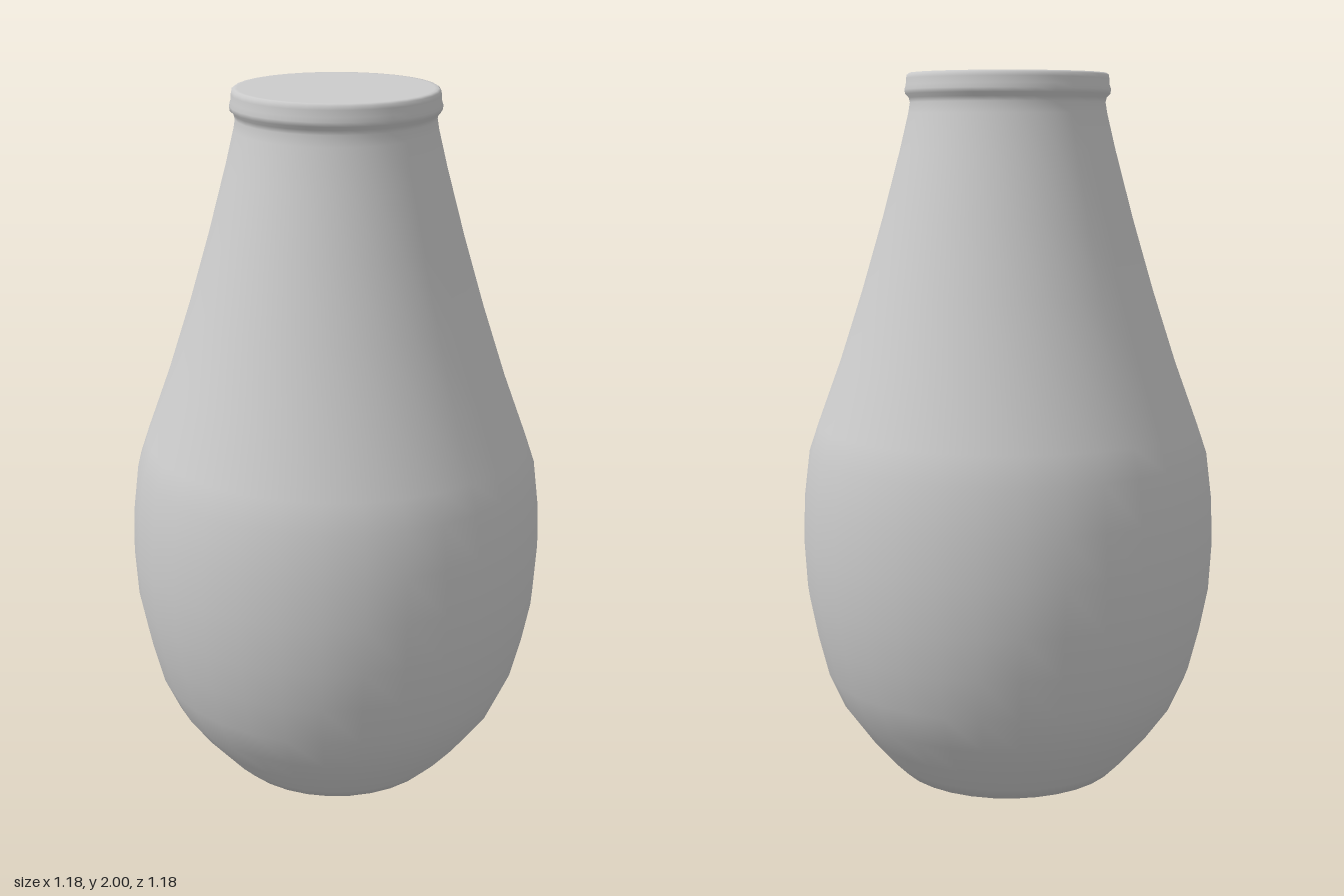
import * as THREE from 'three';

const SIDES = 32;

// Turn a list of [radius, height] pairs around the y axis
function turned(name, profile, material) {
  const points = profile.map(([r, y]) => new THREE.Vector2(r, y));
  const mesh = new THREE.Mesh(new THREE.LatheGeometry(points, SIDES), material);
  mesh.name = name;
  return mesh;
}

export function createModel() {
  const group = new THREE.Group();
  group.name = 'vase';
  const material = new THREE.MeshStandardMaterial({ color: 0xcccccc });

  // Flat foot, bulging belly, straight tapering neck and beaded rim with a closed top
  const foot = [[0, 0], [0.32, 0]];
  const belly = [
    [0.36, 0.04], [0.42, 0.11], [0.485, 0.2], [0.53, 0.3], [0.56, 0.42],
    [0.583, 0.54], [0.591, 0.68], [0.586, 0.81], [0.57, 0.94], [0.543, 1.02],
  ];
  const neck = [
    [0.477, 1.2], [0.412, 1.4], [0.353, 1.6], [0.302, 1.79], [0.278, 1.89], [0.273, 1.92],
  ];
  const rim = [
    [0.276, 1.933], [0.286, 1.943], [0.288, 1.955], [0.284, 1.967],
    [0.283, 1.985], [0.281, 1.995], [0.275, 2], [0.265, 2], [0, 2],
  ];
  group.add(turned('vaseBody', [...foot, ...belly, ...neck, ...rim], material));

  return group;
}
